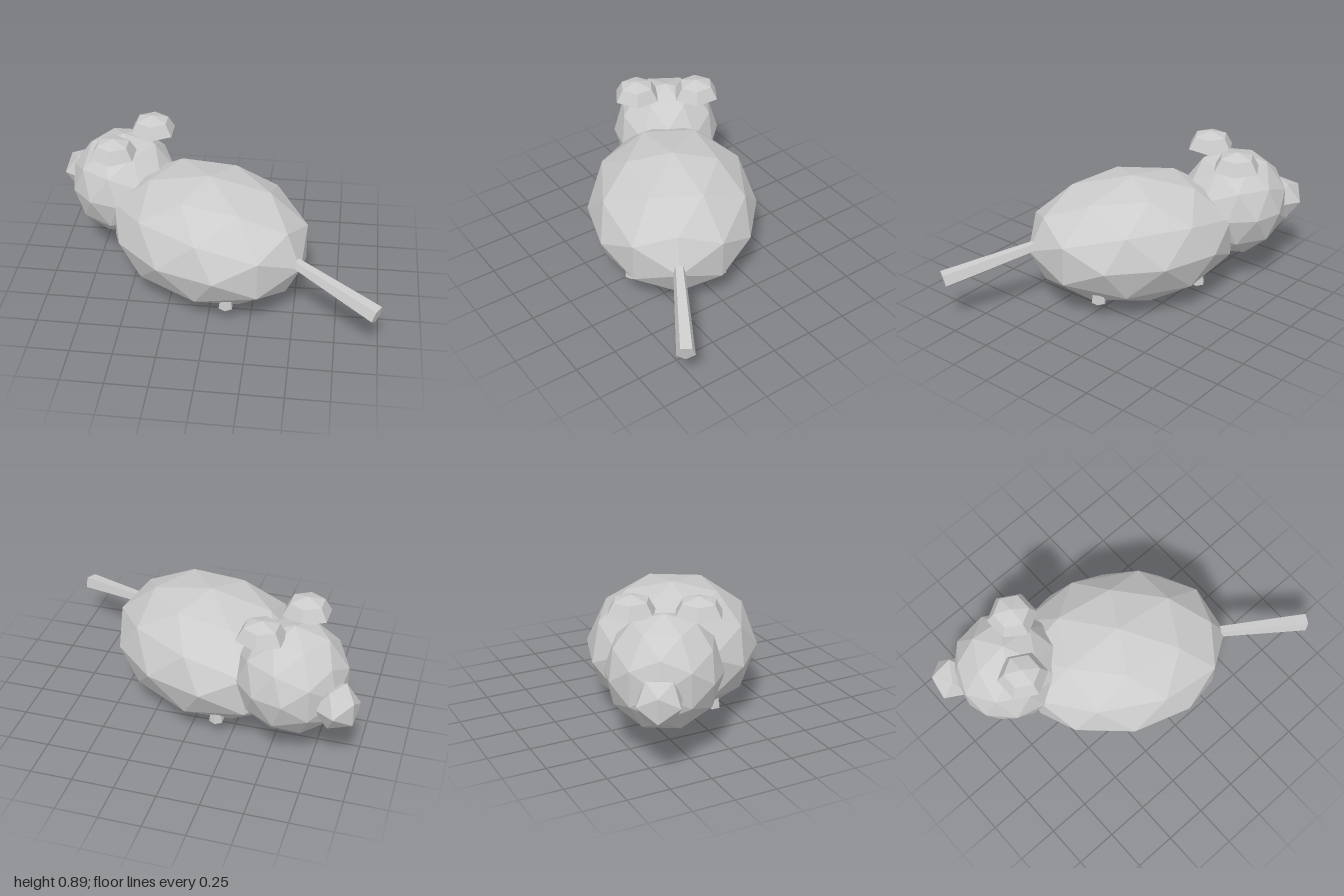
import * as THREE from 'three';

export function createModel() {
  const root = new THREE.Group();
  root.name = 'mouse';
  const mat = new THREE.MeshStandardMaterial({ color: 0xcccccc, flatShading: true });
  const openMat = mat.clone();
  openMat.side = THREE.DoubleSide;

  // Everything is laid out with the nose along local +z, then turned as one
  const animal = new THREE.Group();
  animal.name = 'animal';
  animal.position.x = -0.03;
  animal.rotation.y = THREE.MathUtils.degToRad(-120.5);
  root.add(animal);

  function add(name, geometry, x, y, z, material = mat) {
    const mesh = new THREE.Mesh(geometry, material);
    mesh.name = name;
    mesh.position.set(x, y, z);
    animal.add(mesh);
    return mesh;
  }

  // Faceted egg-shaped body, round head and pointed nose
  add('body', new THREE.IcosahedronGeometry(1, 1).scale(0.511, 0.383, 0.655), 0, 0.384, 0);
  add('head', new THREE.IcosahedronGeometry(0.33, 1), 0, 0.493, 0.663);
  add('nose', new THREE.IcosahedronGeometry(0.138, 0), 0, 0.457, 0.995);

  // Ears: open six-sided domes
  const earProfile = [0, 1, 2].map((i) => {
    const a = (i * Math.PI) / 4;
    return new THREE.Vector2(0.146 * Math.cos(a), 0.105 * Math.sin(a));
  });
  const earGeometry = new THREE.LatheGeometry(earProfile, 6);

  // Feet: small stubs mostly sunk in the belly
  const footGeometry = new THREE.CylinderGeometry(0.032, 0.045, 0.09, 6);

  for (const [side, s] of [['left', 1], ['right', -1]]) {
    add(side + 'Ear', earGeometry, s * 0.183, 0.791, 0.583, openMat);
    add(side + 'FrontFoot', footGeometry, s * 0.26, 0.16, 0.315);
    add(side + 'BackFoot', footGeometry, s * 0.26, 0.16, -0.315);
  }

  // Tail: five-sided rod, widening and dropping towards its end
  const tailGeometry = new THREE.CylinderGeometry(0.055, 0.035, 0.56, 5)
    .rotateY(Math.PI)
    .translate(0, 0.28, 0);
  const tail = add('tail', tailGeometry, 0, 0.41, -0.62);
  tail.rotation.x = -Math.PI / 2 - 0.205;

  return root;
}
